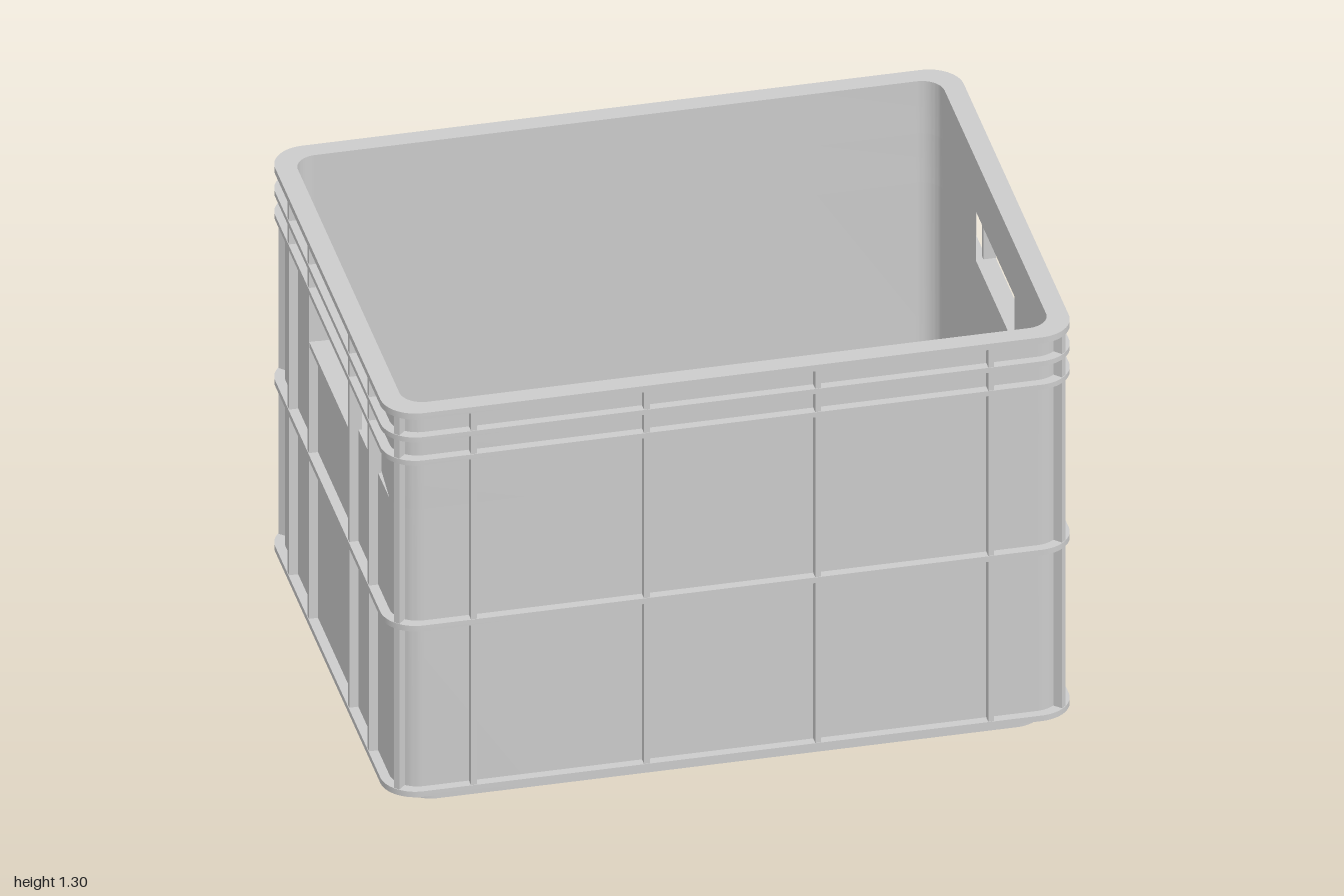
import * as THREE from 'three';
import { toCreasedNormals } from 'three/addons/utils/BufferGeometryUtils.js';

const material = new THREE.MeshStandardMaterial({ color: 0xcccccc });
const TOP = 1.3, BASE = 0.05;
const RIB = { x: 0.985, z: 0.737, r: 0.1 };      // outer faces of the ribs
const WALL = { x: 0.957, z: 0.71, r: 0.08 };     // outer faces of the wall panels
const INNER = { x: 0.925, z: 0.68, r: 0.065 };   // cavity
const HOLE = { z: 0.235, low: 0.97, high: 1.13 };

// Rounded rectangle in plan
function plan({ x, z, r }, Type = THREE.Shape) {
  const s = new Type();
  s.moveTo(x, -z + r);
  s.lineTo(x, z - r);
  s.absarc(x - r, z - r, r, 0, Math.PI / 2, false);
  s.absarc(-x + r, z - r, r, Math.PI / 2, Math.PI, false);
  s.absarc(-x + r, -z + r, r, Math.PI, Math.PI * 1.5, false);
  s.absarc(x - r, -z + r, r, Math.PI * 1.5, Math.PI * 2, false);
  return s;
}

// Extrude a plan shape upward between two heights
function rise(shape, y0, y1) {
  const g = new THREE.ExtrudeGeometry(shape, { depth: y1 - y0, bevelEnabled: false, curveSegments: 8 });
  g.rotateX(-Math.PI / 2).translate(0, y0, 0);
  return toCreasedNormals(g, 0.6);
}

function ring(outer, inner, y0, y1) {
  const s = plan(outer);
  s.holes.push(plan(inner, THREE.Path));
  return rise(s, y0, y1);
}

// Long wall with both corners, stopping at the hand holes
function halfRing(outer, inner, zCut, y0, y1) {
  const s = new THREE.Shape();
  s.moveTo(outer.x, zCut);
  s.absarc(outer.x - outer.r, outer.z - outer.r, outer.r, 0, Math.PI / 2, false);
  s.absarc(-outer.x + outer.r, outer.z - outer.r, outer.r, Math.PI / 2, Math.PI, false);
  s.lineTo(-outer.x, zCut);
  s.lineTo(-inner.x, zCut);
  s.absarc(-inner.x + inner.r, inner.z - inner.r, inner.r, Math.PI, Math.PI / 2, true);
  s.absarc(inner.x - inner.r, inner.z - inner.r, inner.r, Math.PI / 2, 0, true);
  s.lineTo(inner.x, zCut);
  return rise(s, y0, y1);
}

export function createModel() {
  const model = new THREE.Group();
  const crate = new THREE.Group();
  crate.name = 'crate';
  crate.rotation.y = 0.024;
  model.add(crate);

  const add = (name, geometry) => {
    const mesh = new THREE.Mesh(geometry, material);
    mesh.name = name;
    crate.add(mesh);
    return mesh;
  };
  const box = (name, w, h, d, x, y, z) =>
    add(name, new THREE.BoxGeometry(w, h, d).translate(x, y, z));

  // Walls, split around the hand holes
  add('lowerWall', ring(WALL, INNER, BASE, HOLE.low));
  add('upperWall', ring(WALL, INNER, HOLE.high, TOP));
  add('frontHoleWall', halfRing(WALL, INNER, HOLE.z, HOLE.low, HOLE.high)).rotation.y = Math.PI;
  add('backHoleWall', halfRing(WALL, INNER, HOLE.z, HOLE.low, HOLE.high));

  // Horizontal ribs running all round
  const band = { x: 0.94, z: 0.695, r: 0.07 };
  for (const [name, y0, y1] of [
    ['bottomFlange', BASE, 0.068], ['middleRib', 0.59, 0.608],
    ['lowerRimRib', 1.13, 1.146], ['upperRimRib', 1.206, 1.222], ['topRim', 1.28, TOP],
  ]) add(name, ring(RIB, band, y0, y1));

  // Vertical ribs
  const height = TOP - BASE, midY = (TOP + BASE) / 2, w = 0.017, d = 0.036;
  for (const side of [-1, 1]) {
    for (const x of [-0.74, -0.245, 0.245, 0.74])
      box('longSideRib', w, height - 0.004, d, x, midY, side * (RIB.z - 0.002 - d / 2));
    for (const z of [-0.485, -0.245, 0.245, 0.485])
      box('endRib', d, height - 0.004, w, side * (RIB.x - 0.002 - d / 2), midY, z);
    box('handHoleSill', d, 0.016, 0.48, side * (RIB.x - 0.003 - d / 2), HOLE.low - 0.008, 0);
    // Diagonal rib on each rounded corner
    for (const front of [-1, 1]) {
      const reach = (RIB.r - d / 2 - 0.002) * Math.SQRT1_2;
      const rib = box('cornerRib', d, height - 0.004, w, 0, 0, 0);
      rib.position.set(side * (RIB.x - RIB.r + reach), midY, front * (RIB.z - RIB.r + reach));
      rib.rotation.y = -side * front * Math.PI / 4;
    }
  }

  // Shallow round plate on one end
  add('roundPlate', new THREE.CylinderGeometry(0.12, 0.12, 0.01, 40)
    .rotateZ(Math.PI / 2).translate(WALL.x, 0.315, 0));

  // Floor, with a foot rim and a grid of ribs underneath
  add('floor', rise(plan(WALL), BASE, 0.075));
  const foot = { x: 0.918, z: 0.673, r: 0.09 };
  const footInner = { x: 0.872, z: 0.627, r: 0.05 };
  add('footRim', ring(foot, footInner, 0, BASE + 0.002));
  for (let i = 1; i < 5; i++)
    box('floorCrossRib', 0.035, 0.048, 1.27, -0.872 + i * 1.744 / 5, 0.027, 0);
  for (let i = 1; i < 4; i++)
    box('floorLongRib', 1.76, 0.047, 0.035, 0, 0.0275, -0.627 + i * 1.254 / 4);

  return model;
}
